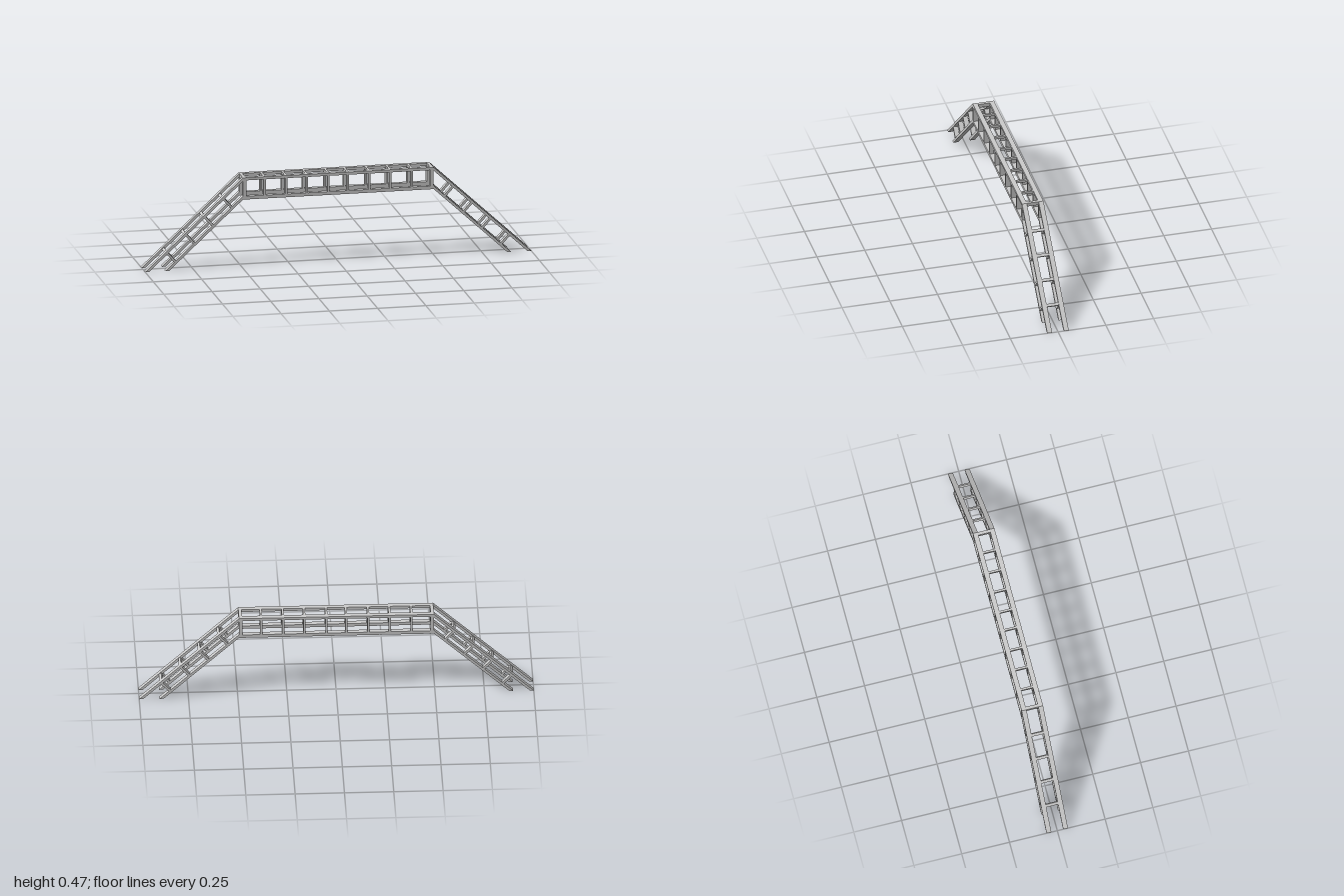
import * as THREE from 'three';

const material = new THREE.MeshStandardMaterial({ color: 0xcccccc, flatShading: true });
const TOP = 0.466, BOTTOM = 0.352; // outer faces of the upper and lower chords
const HALF = 0.494;                // half length of the level span
const INNER = 0.031, WIDE = 0.025; // inner z and width of each side frame
const SIDE_Z = INNER + WIDE / 2;
const RAIL = 0.014;                // chord thickness

function box(parent, name, w, h, d, x, y, z) {
  const mesh = new THREE.Mesh(new THREE.BoxGeometry(w, h, d), material);
  mesh.name = name;
  mesh.position.set(x, y, z);
  parent.add(mesh);
  return mesh;
}

// Flat outline in the xy plane, given the thickness of a side frame
function slab(parent, name, points, z) {
  const shape = new THREE.Shape(points.map(([x, y]) => new THREE.Vector2(x, y)));
  const geometry = new THREE.ExtrudeGeometry(shape, { depth: WIDE, bevelEnabled: false });
  const mesh = new THREE.Mesh(geometry, material);
  mesh.name = name;
  mesh.position.z = z - WIDE / 2;
  parent.add(mesh);
}

function createSpan() {
  const span = new THREE.Group();
  span.name = 'levelSpan';
  const posts = [0.05, 0.162, 0.27, 0.381];
  const height = TOP - BOTTOM;
  for (const side of [-1, 1]) {
    const z = side * SIDE_Z;
    box(span, 'upperChord', HALF * 2, RAIL, WIDE, 0, TOP - RAIL / 2, z);
    box(span, 'lowerChord', HALF * 2, 0.017, WIDE, 0, BOTTOM + 0.0085, z);
    for (const end of [-1, 1]) {
      box(span, 'endPost', 0.017, height, WIDE, end * (HALF - 0.0085), BOTTOM + height / 2, z);
      for (const x of posts) {
        box(span, 'post', 0.011, height - RAIL, WIDE, end * x, BOTTOM + height / 2, z);
      }
    }
  }
  // Crossbars tie the two upper chords together
  for (const end of [-1, 1]) {
    box(span, 'endCrossbar', 0.016, 0.019, INNER * 2, end * (HALF - 0.008), TOP - 0.0095, 0);
    for (const x of posts) {
      box(span, 'crossbar', 0.011, RAIL, INNER * 2, end * x, TOP - RAIL / 2, 0);
    }
  }
  return span;
}

function createRamp() {
  const ramp = new THREE.Group();
  ramp.name = 'ramp';
  const run = 1 - HALF;
  const length = Math.hypot(run, TOP);
  const cos = run / length, sin = TOP / length;
  const drop = 0.018; // vertical thickness of a sloping chord
  const foot = (y) => HALF + y * run / TOP;
  const chord = (top) => [
    [HALF, top], [HALF, top - drop], [foot(top - drop), 0], [foot(top), 0],
  ];
  const lowerTop = BOTTOM + drop;
  for (const side of [-1, 1]) {
    slab(ramp, 'upperRampChord', chord(TOP), side * SIDE_Z);
    slab(ramp, 'lowerRampChord', chord(lowerTop), side * SIDE_Z);
  }

  // Rungs and posts sit in a frame that follows the slope
  const slope = new THREE.Group();
  slope.name = 'rungsAndPosts';
  slope.position.set(HALF, TOP, 0);
  slope.rotation.z = -Math.atan2(TOP, run);
  const depth = (TOP - BOTTOM) * cos;
  for (const s of [0.146, 0.278, 0.409, 0.542]) {
    box(slope, 'rung', 0.0148, 0.011, INNER * 2, s, -0.0085, 0);
    for (const side of [-1, 1]) {
      box(slope, 'rampPost', 0.012, depth - 0.012, WIDE, s, -depth / 2, side * SIDE_Z);
    }
  }
  ramp.add(slope);
  return ramp;
}

export function createModel() {
  const model = new THREE.Group();
  model.name = 'monkeyBars';
  const left = createRamp();
  left.name = 'leftRamp';
  const right = createRamp();
  right.name = 'rightRamp';
  right.rotation.y = Math.PI;
  model.add(createSpan(), left, right);
  return model;
}
